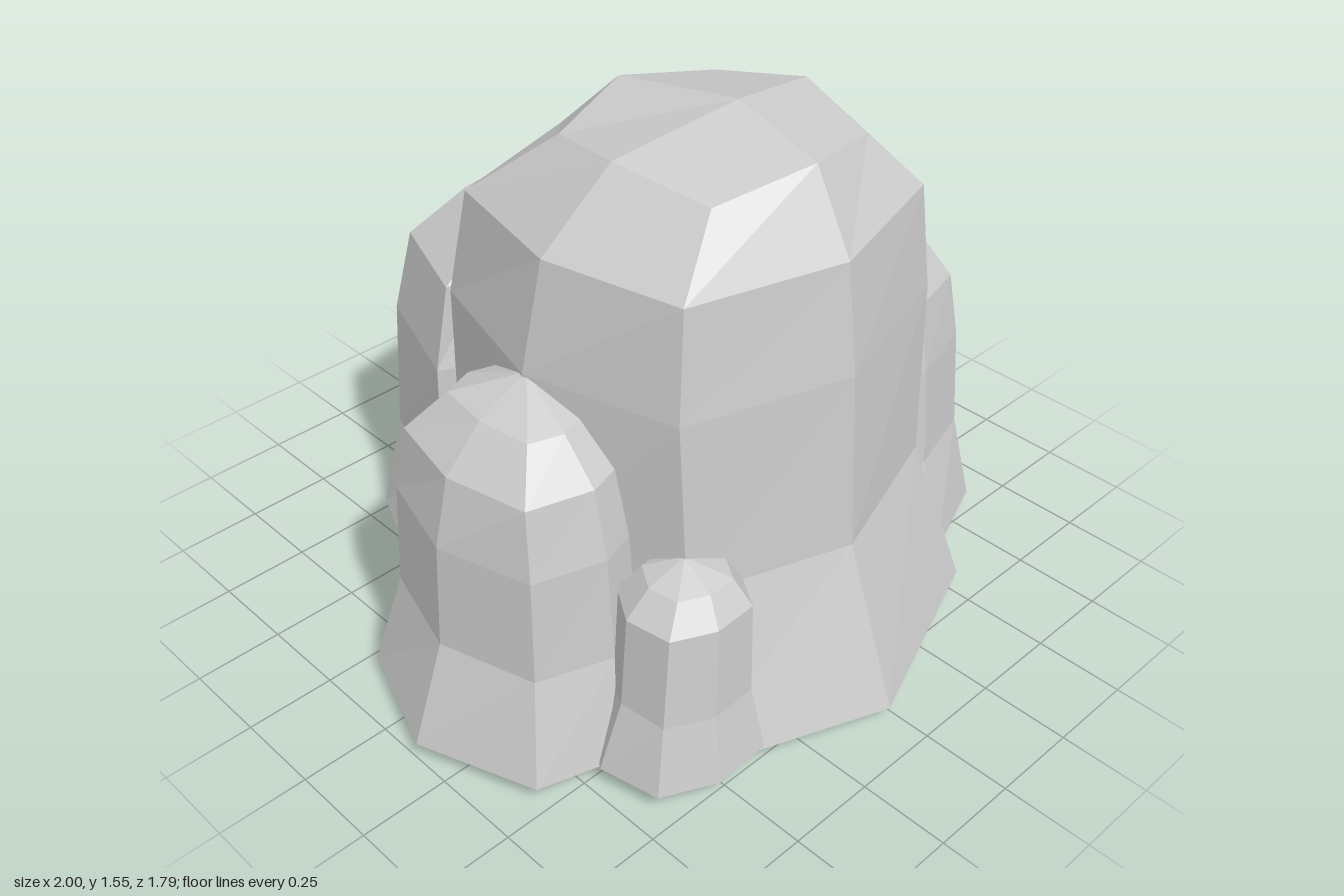
import * as THREE from 'three';

const material = new THREE.MeshStandardMaterial({ color: 0xcccccc, flatShading: true });

// Eight-sided boulder. Each ring: [y, rx, rz, dx, dz, shiftX, shiftZ, drop],
// r = reach along the axes, d = reach of the diagonal corners, drop lowers them.
// nudges: corner index -> [x, z] offset on the body and [x, z] offset on the base.
function boulder(name, cx, cz, rings, apex, floorY, { spin = 0, nudges = {} } = {}) {
  const c = Math.cos(spin), s = Math.sin(spin);
  const loops = rings.map(([y, rx, rz, dx, dz, sx = 0, sz = 0, drop = 0], j) => {
    const loop = [];
    for (let k = 0; k < 8; k++) {
      const a = k * Math.PI / 4;
      const diagonal = k % 2 === 1;
      const [nx, nz] = nudges[k] ? nudges[k][j === 0 ? 1 : 0] : [0, 0];
      const px = nx + (diagonal ? Math.sign(Math.cos(a)) * dx : Math.round(Math.cos(a)) * rx);
      const pz = nz + (diagonal ? Math.sign(Math.sin(a)) * dz : Math.round(Math.sin(a)) * rz);
      loop.push([cx + sx + px * c - pz * s, diagonal ? y - drop : y, cz + sz + px * s + pz * c]);
    }
    return loop;
  });

  const positions = [];
  const tri = (...corners) => corners.forEach((p) => positions.push(...p));
  const last = loops[loops.length - 1];
  for (let k = 0; k < 8; k++) {
    const n = (k + 1) % 8;
    for (let j = 0; j < loops.length - 1; j++) {
      const lo = loops[j], hi = loops[j + 1];
      tri(lo[n], lo[k], hi[k]);
      tri(lo[n], hi[k], hi[n]);
    }
    tri(last[n], last[k], apex);
    tri(loops[0][k], loops[0][n], [cx, floorY, cz]);
  }
  const geometry = new THREE.BufferGeometry();
  geometry.setAttribute('position', new THREE.Float32BufferAttribute(positions, 3));
  geometry.computeVertexNormals();
  const mesh = new THREE.Mesh(geometry, material);
  mesh.name = name;
  return mesh;
}

export function createModel() {
  const group = new THREE.Group();
  group.name = 'rockCluster';

  // Tall central rock
  group.add(boulder('mainRock', -0.03, 0.14, [
    [0.045, 0.72, 0.755, 0.56, 0.54],
    [0.5, 0.58, 0.59, 0.44, 0.44],
    [1.0, 0.565, 0.56, 0.45, 0.42],
    [1.3, 0.505, 0.505, 0.42, 0.385, 0, 0.015],
    [1.5, 0.335, 0.335, 0.27, 0.26, 0.02, 0.055, 0.045],
  ], [0.03, 1.55, 0.24], 0));

  // Rock behind, its front corners pulled back into the central rock
  group.add(boulder('backRock', 0, -0.34, [
    [0.03, 0.56, 0.56, 0.44, 0.41],
    [0.34, 0.51, 0.44, 0.4, 0.35],
    [0.73, 0.5, 0.42, 0.38, 0.34],
    [0.97, 0.45, 0.37, 0.34, 0.3],
    [1.11, 0.28, 0.22, 0.22, 0.19],
  ], [0, 1.2, -0.36], 0.02, {
    nudges: {
      1: [[0, -0.28], [0, -0.3]],
      3: [[0, -0.28], [0, -0.3]],
      4: [[0, 0], [-0.03, -0.07]],
      7: [[0, 0], [-0.02, 0.07]],
    },
  }));

  // Rocks on both flanks
  group.add(boulder('leftRock', 0.57, 0.14, [
    [0.045, 0.43, 0.44, 0.28, 0.33],
    [0.32, 0.34, 0.36, 0.23, 0.29],
    [0.62, 0.29, 0.335, 0.22, 0.27],
    [0.82, 0.25, 0.3, 0.19, 0.25],
    [0.93, 0.17, 0.2, 0.13, 0.17, 0, 0.03],
  ], [0.55, 1.03, 0.19], 0.03, { nudges: { 7: [[0, 0.01], [0.02, 0.07]] } }));
  group.add(boulder('rightRock', -0.62, 0.14, [
    [0.05, 0.38, 0.41, 0.26, 0.33],
    [0.33, 0.28, 0.34, 0.2, 0.27],
    [0.63, 0.265, 0.32, 0.19, 0.26],
    [0.82, 0.22, 0.28, 0.17, 0.23],
    [0.93, 0.11, 0.18, 0.09, 0.15],
  ], [-0.58, 1.0, 0.14], 0.04));

  // Small stone at the front
  group.add(boulder('smallRock', -0.5, 0.58, [
    [0.06, 0.23, 0.2, 0.16, 0.16],
    [0.25, 0.17, 0.165, 0.13, 0.13, 0.005],
    [0.51, 0.165, 0.15, 0.12, 0.12, 0.02],
    [0.58, 0.11, 0.1, 0.08, 0.08, 0.03],
  ], [-0.47, 0.62, 0.57], 0.05, { spin: 0.2 }));

  return group;
}
